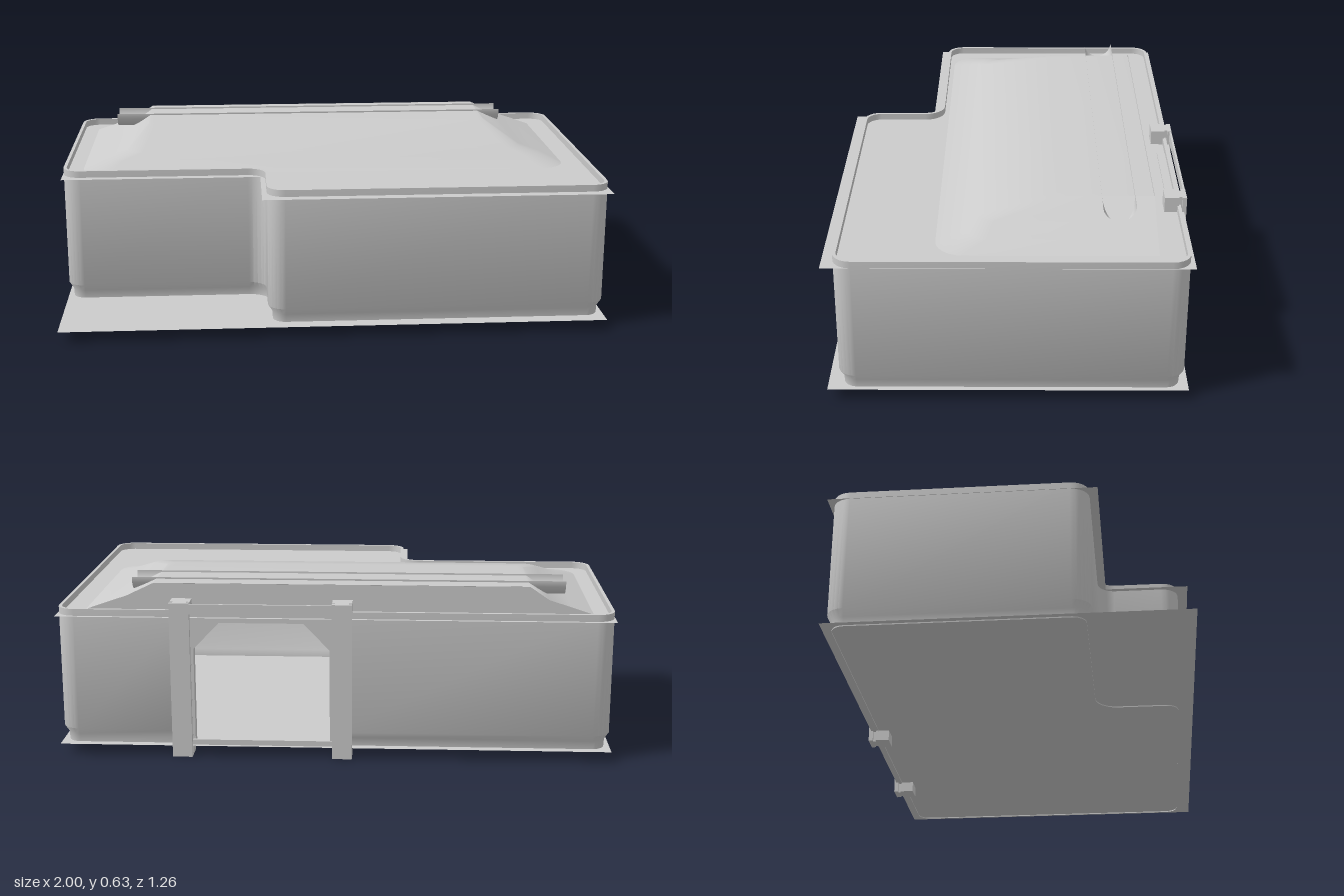
import * as THREE from 'three';
import { toCreasedNormals } from 'three/addons/utils/BufferGeometryUtils.js';

const material = new THREE.MeshStandardMaterial({ color: 0xcccccc, side: THREE.DoubleSide });

// Plan path [x, z] with right-angle corners rounded by r and moved inwards by d
function roundedPath(points, r, d = 0, steps = 6) {
  const v = points.map(p => new THREE.Vector2(...p));
  const dirs = v.slice(1).map((p, i) => p.clone().sub(v[i]).normalize());
  const normal = k => new THREE.Vector2(-dirs[k].y, dirs[k].x);
  const out = [v[0].clone().addScaledVector(normal(0), -d)];
  for (let i = 1; i < v.length - 1; i++) {
    const d1 = dirs[i - 1], d2 = dirs[i], n1 = normal(i - 1);
    const rr = Math.max(0.001, d2.dot(n1) < 0 ? r - d : r + d);
    const p = v[i].clone().addScaledVector(n1, -d).addScaledVector(normal(i), -d);
    const c = p.addScaledVector(d1, -rr).addScaledVector(d2, rr);
    for (let k = 0; k <= steps; k++) {
      const t = (k / steps) * Math.PI / 2;
      out.push(c.clone().addScaledVector(d2, -rr * Math.cos(t)).addScaledVector(d1, rr * Math.sin(t)));
    }
  }
  out.push(v.at(-1).clone().addScaledVector(normal(dirs.length - 1), -d));
  return out;
}

// Skin through paths stacked at heights
function loft(rings, crease) {
  const pos = [], index = [], n = rings[0].path.length;
  rings.forEach(({ path, y }) => path.forEach(p => pos.push(p.x, y, p.y)));
  for (let j = 0; j < rings.length - 1; j++) {
    for (let i = 0; i < n - 1; i++) {
      const a = j * n + i, b = a + 1, c = b + n, e = a + n;
      index.push(a, b, c, a, c, e);
    }
  }
  const g = new THREE.BufferGeometry();
  g.setAttribute('position', new THREE.Float32BufferAttribute(pos, 3));
  g.setIndex(index);
  return toCreasedNormals(g, crease);
}

const shapeOf = pts => new THREE.Shape(pts.map(p => new THREE.Vector2(...p)));

export function createModel() {
  const group = new THREE.Group();
  const add = (name, geometry, parent = group) => {
    const mesh = new THREE.Mesh(geometry, material);
    mesh.name = name;
    parent.add(mesh);
    return mesh;
  };
  const box = (name, x0, x1, y0, y1, z0, z1, parent) =>
    add(name, new THREE.BoxGeometry(x1 - x0, y1 - y0, z1 - z0), parent)
      .position.set((x0 + x1) / 2, (y0 + y1) / 2, (z0 + z1) / 2);
  const slab = (name, pts, y) =>
    add(name, new THREE.ShapeGeometry(shapeOf(pts)).rotateX(Math.PI / 2)).position.y = y;

  // Floor sheet and L-shaped roof sheet
  slab('floor', [[-1, -0.625], [1, -0.625], [1, 0.625], [-1, 0.625]], 0.04);
  slab('roof', [[-1, -0.625], [1, -0.625], [1, 0.625], [-0.26, 0.625], [-0.26, 0.31], [-1, 0.31]], 0.52);

  // Outer wall with recessed foot and low parapet, open at the doorway
  const plan = [[0, -0.612], [-0.998, -0.612], [-0.998, 0.28], [-0.242, 0.28], [-0.242, 0.588],
    [0.998, 0.588], [0.998, -0.612], [0.52, -0.612]];
  const wall = [[0.018, 0.036], [0.016, 0.07], [0, 0.095], [0, 0.545], [0.012, 0.545], [0.012, 0.52]];
  add('walls', loft(wall.map(([d, y]) => ({ path: roundedPath(plan, 0.065, d), y })), 0.6));

  // Raised roof hump: [left x, right x, front z, height, corner radius]
  const hump = [
    [-0.93, 0.91, 0.25, 0.52, 0.1], [-0.855, 0.84, 0.14, 0.545, 0.07], [-0.77, 0.76, 0.11, 0.572, 0.06],
    [-0.70, 0.66, -0.16, 0.62, 0.03], [-0.70, 0.66, -0.508, 0.62, 0],
  ];
  const back = -0.51;
  add('roofHump', loft(hump.map(([x0, x1, z, y, r]) => ({
    path: roundedPath([[x0, back], [x0, z], [x1, z], [x1, back]], r), y,
  })), 0.75));
  const profile = hump.slice(0, 4);
  add('humpBack', new THREE.ShapeGeometry(shapeOf([
    ...profile.map(h => [h[0], h[3]]), ...profile.map(h => [h[1], h[3]]).reverse(),
  ]))).position.z = back;

  // Half-round gutter let into the hump
  const gutter = new THREE.CylinderGeometry(0.058, 0.058, 1.585, 16, 1, true, Math.PI, Math.PI);
  add('gutter', gutter.rotateZ(Math.PI / 2)).position.set(-0.042, 0.626, -0.383);

  // Doorway: panel above the opening with chamfered corners
  const door = new THREE.Group();
  door.name = 'doorway';
  group.add(door);
  const arch = [[0, 0.4], [0.1, 0.5], [0.42, 0.5], [0.52, 0.4]];
  const header = shapeOf([...arch, [0.52, 0.545], [0, 0.545]]);
  add('doorHeader', new THREE.ExtrudeGeometry(header, { depth: 0.012, bevelEnabled: false }), door)
    .position.z = -0.612;

  // Lining that follows the opening
  const lining = shapeOf([[0, 0.04], [0, 0.42], [0.1, 0.526], [0.42, 0.526], [0.52, 0.42], [0.52, 0.04],
    [0.505, 0.04], [0.505, 0.4], [0.41, 0.5], [0.11, 0.5], [0.015, 0.4], [0.015, 0.04]]);
  add('doorLining', new THREE.ExtrudeGeometry(lining, { depth: 0.035, bevelEnabled: false }), door)
    .position.z = -0.605;
  box('lintel', 0, 0.52, 0.535, 0.572, -0.633, -0.625, door);
  box('sill', 0, 0.52, 0.036, 0.06, -0.612, -0.6, door);

  // Grooved posts either side of the doorway
  for (const x of [-0.03, 0.55]) {
    box('postInner', x - 0.036, x + 0.036, 0, 0.575, -0.606, -0.554, door);
    box('postWeb', x - 0.025, x + 0.025, 0, 0.575, -0.617, -0.606, door);
    box('postOuter', x - 0.036, x + 0.036, 0, 0.575, -0.633, -0.617, door);
  }
  return group;
}
